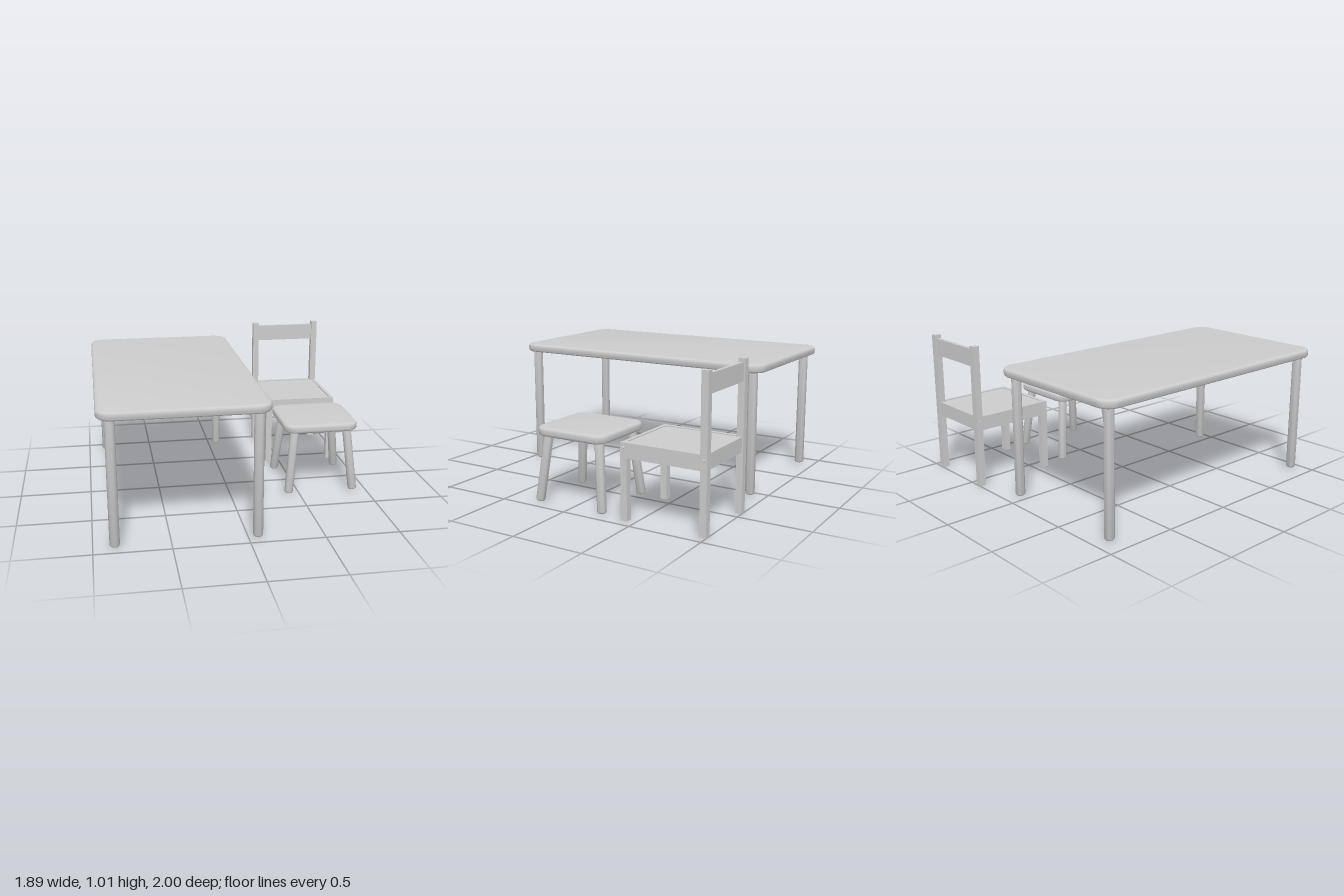
import * as THREE from 'three';
import { toCreasedNormals } from 'three/addons/utils/BufferGeometryUtils.js';

const material = new THREE.MeshStandardMaterial({ color: 0xcccccc });

function addMesh(parent, name, geometry) {
  const mesh = new THREE.Mesh(geometry, material);
  mesh.name = name;
  parent.add(mesh);
  return mesh;
}

// Box given by its limits on each axis
function addBox(parent, name, [x0, x1], [y0, y1], [z0, z1]) {
  const mesh = addMesh(parent, name, new THREE.BoxGeometry(x1 - x0, y1 - y0, z1 - z0));
  mesh.position.set((x0 + x1) / 2, (y0 + y1) / 2, (z0 + z1) / 2);
  return mesh;
}

// Board with rounded corners and softened edges
function addSlab(parent, name, [x0, x1], [y0, y1], [z0, z1], r, bevel) {
  const a = (x1 - x0) / 2, b = (z1 - z0) / 2;
  const shape = new THREE.Shape();
  shape.absarc(a - r, b - r, r, 0, Math.PI / 2);
  shape.absarc(r - a, b - r, r, Math.PI / 2, Math.PI);
  shape.absarc(r - a, r - b, r, Math.PI, Math.PI * 1.5);
  shape.absarc(a - r, r - b, r, Math.PI * 1.5, Math.PI * 2);
  const geometry = new THREE.ExtrudeGeometry(shape, {
    depth: y1 - y0 - 2 * bevel, curveSegments: 10,
    bevelThickness: bevel, bevelSize: bevel, bevelOffset: -bevel, bevelSegments: 4,
  });
  geometry.rotateX(-Math.PI / 2);
  const mesh = addMesh(parent, name, toCreasedNormals(geometry, 0.6));
  mesh.position.set((x0 + x1) / 2, y0 + bevel, (z0 + z1) / 2);
}

// Round leg with a softened foot, running from foot to head
function addRoundLeg(parent, name, foot, head, r) {
  const length = foot.distanceTo(head), e = 0.012;
  const profile = [
    [0, 0], [r - e, 0], [r - e * 0.4, e * 0.25], [r, e], [r, length], [0, length],
  ].map(([x, y]) => new THREE.Vector2(x, y));
  const leg = addMesh(parent, name, toCreasedNormals(new THREE.LatheGeometry(profile, 24), 0.7));
  leg.position.copy(foot);
  leg.quaternion.setFromUnitVectors(new THREE.Vector3(0, 1, 0), head.clone().sub(foot).normalize());
}

function createTable() {
  const table = new THREE.Group();
  table.name = 'table';
  addSlab(table, 'tableTop', [-0.945, 0.145], [0.86, 0.92], [-0.975, 0.997], 0.1, 0.02);
  for (const x of [-0.861, 0.063]) for (const z of [-0.888, 0.92]) {
    addRoundLeg(table, 'tableLeg', new THREE.Vector3(x, 0.01, z), new THREE.Vector3(x, 0.87, z), 0.033);
  }
  return table;
}

function createStool() {
  const stool = new THREE.Group();
  stool.name = 'stool';
  const cx = 0.664, cz = 0.012;
  addSlab(stool, 'stoolSeat', [0.393, 0.935], [0.46, 0.52], [-0.26, 0.283], 0.09, 0.02);
  // Splayed legs
  for (const sx of [-1, 1]) for (const sz of [-1, 1]) {
    addRoundLeg(stool, 'stoolLeg',
      new THREE.Vector3(cx + sx * 0.241, 0.006, cz + sz * 0.249),
      new THREE.Vector3(cx + sx * 0.191, 0.475, cz + sz * 0.199), 0.031);
  }
  return stool;
}

function createChair() {
  const chair = new THREE.Group();
  chair.name = 'chair';
  const cx = 0.664, half = 0.271, post = 0.046, rail = 0.026;
  const inner = [cx - half + post, cx + half - post];
  const railY = [0.41, 0.51];

  for (const s of [-1, 1]) {
    const span = (a, b) => [cx + s * a, cx + s * b].sort((p, q) => p - q);
    // Posts and side rail
    addBox(chair, 'backPost', span(half - post, half), [0, 1.01], [-1, -0.953]);
    addBox(chair, 'frontLeg', span(half - post, half), [0, 0.509], [-0.445, -0.398]);
    addBox(chair, 'sideRail', span(half - rail, half), railY, [-0.953, -0.398]);
    // Bolt heads on the outer faces
    for (const z of [-0.976, -0.42]) {
      const bolt = addMesh(chair, 'boltHead', new THREE.CylinderGeometry(0.007, 0.01, 0.008, 14));
      bolt.rotation.z = -s * Math.PI / 2;
      bolt.position.set(cx + s * (half + 0.003), 0.476, z);
    }
  }

  // Cross rails, backrest and seat panel
  addBox(chair, 'frontRail', inner, railY, [-0.426, -0.401]);
  addBox(chair, 'backRail', inner, railY, [-0.99, -0.964]);
  addBox(chair, 'backrest', inner, [0.865, 0.987], [-0.99, -0.964]);
  addBox(chair, 'chairSeat', [cx - half + rail, cx + half - rail], [0.485, 0.504], [-0.953, -0.445]);
  addBox(chair, 'seatFrontEdge', inner, [0.485, 0.504], [-0.445, -0.426]);
  addBox(chair, 'seatBackEdge', inner, [0.485, 0.504], [-0.964, -0.953]);
  return chair;
}

export function createModel() {
  const model = new THREE.Group();
  model.name = 'furnitureSet';
  model.add(createTable(), createStool(), createChair());
  return model;
}
